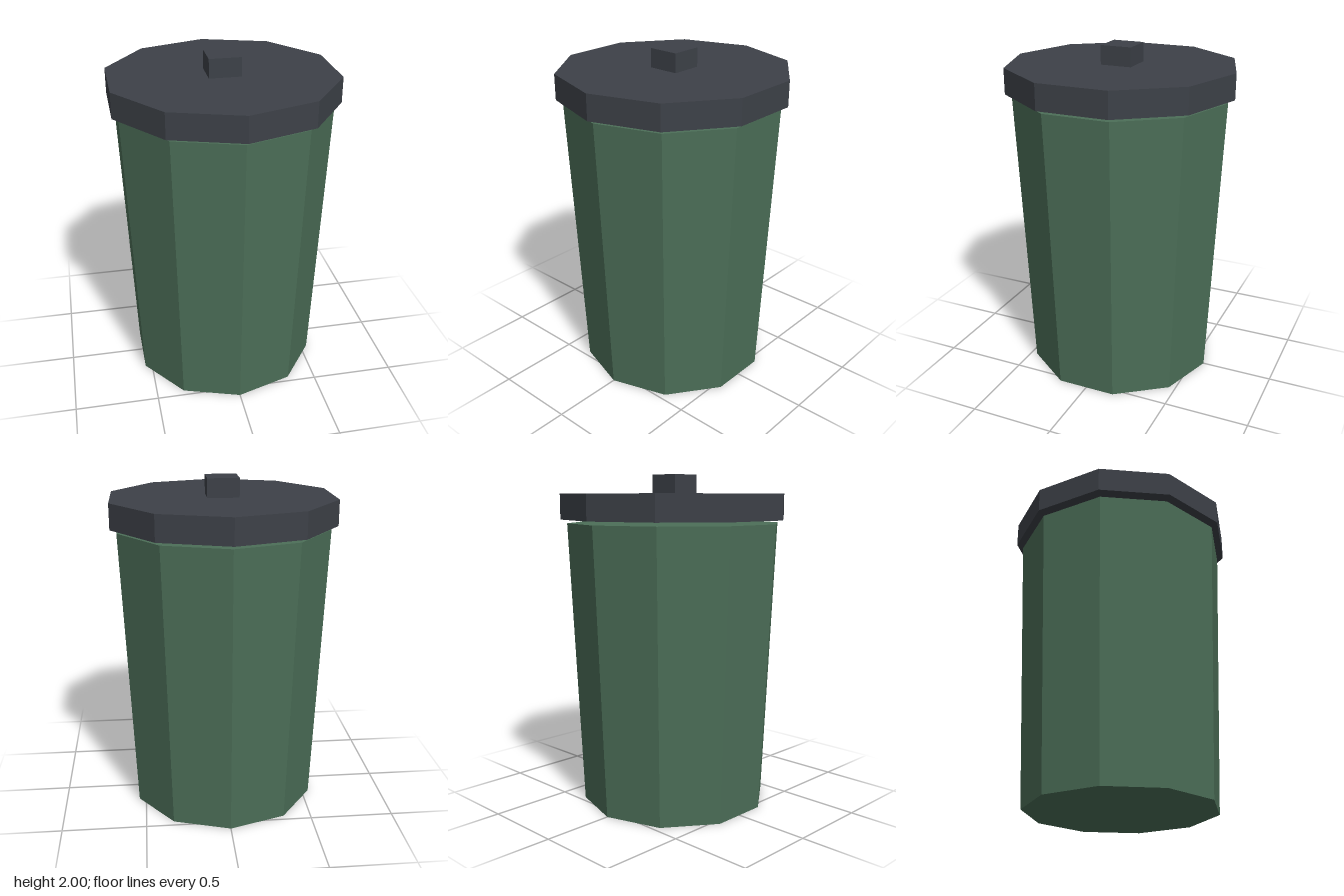
import * as THREE from 'three';

export function createModel() {
  const green = new THREE.MeshStandardMaterial({ color: 0x4c6f58 });
  green.name = 'bin green';
  const slate = new THREE.MeshStandardMaterial({ color: 0x3d4148 });
  slate.name = 'lid slate';

  const SIDES = 10;
  const model = new THREE.Group();
  model.name = 'trashBin';

  // Places a part so that it spans y0 to y1, with faceted normals
  function addPart(name, geometry, material, y0, y1) {
    const flat = geometry.toNonIndexed();
    flat.computeVertexNormals();
    const mesh = new THREE.Mesh(flat, material);
    mesh.name = name;
    mesh.position.y = (y0 + y1) / 2;
    model.add(mesh);
  }

  // Ten-sided prism, wider or narrower at the top
  const prism = (top, bottom, y0, y1) =>
    new THREE.CylinderGeometry(top, bottom, y1 - y0, SIDES);

  // Tapered body
  addPart('body', prism(0.645, 0.57, 0, 1.715), green, 0, 1.715);

  // Overhanging lid, floating just above the body
  addPart('lid', prism(0.684, 0.684, 1.737, 1.888), slate, 1.737, 1.888);

  // Square knob
  addPart('lidHandle', new THREE.BoxGeometry(0.187, 0.112, 0.187), slate, 1.888, 2);

  return model;
}
